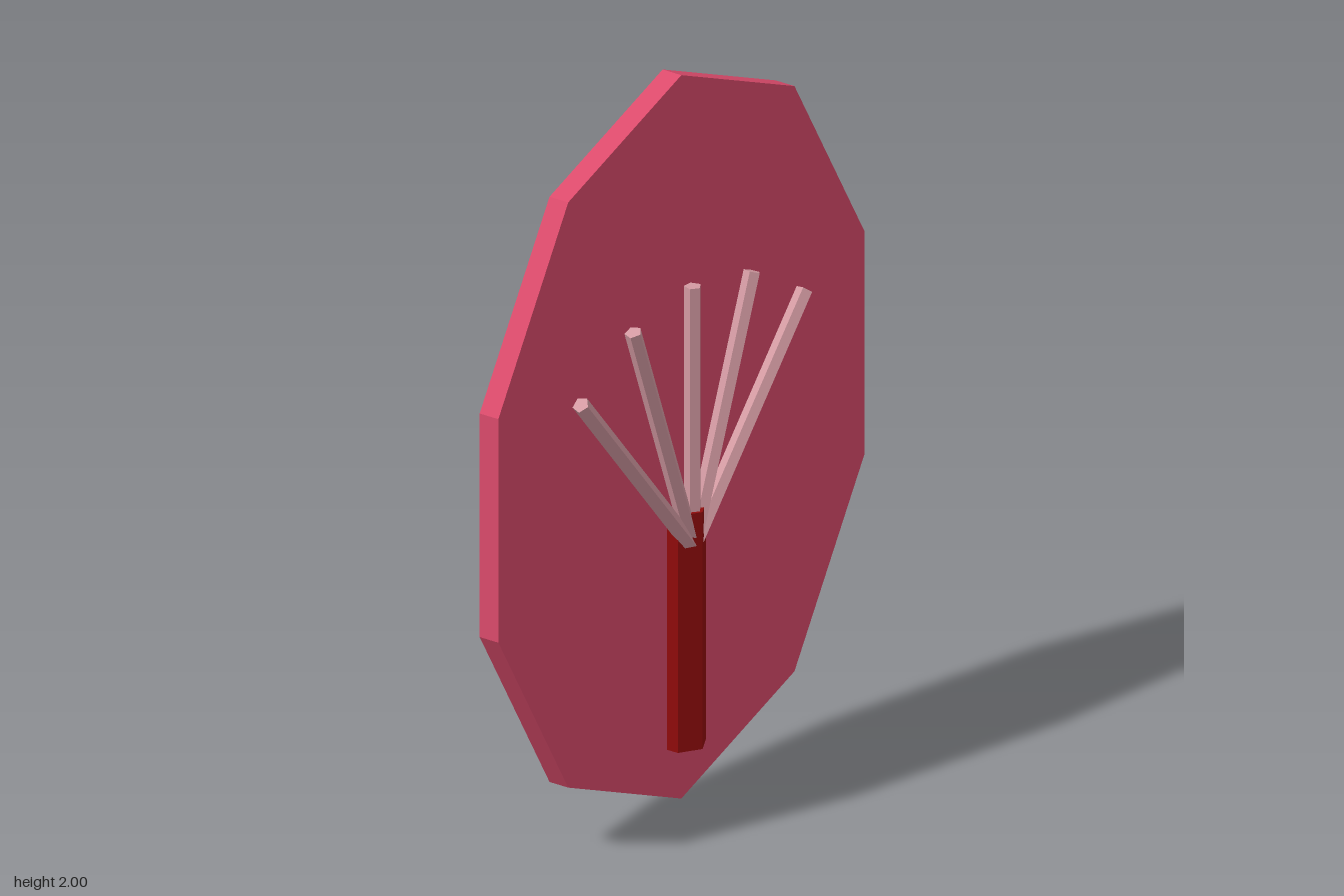
import * as THREE from 'three';

export function createModel() {
  const model = new THREE.Group();
  const crown = new THREE.MeshStandardMaterial({ name: 'rose foliage', color: 0xdc4b6c, flatShading: true });
  const bark = new THREE.MeshStandardMaterial({ name: 'dark red bark', color: 0x900b0b, flatShading: true });
  const twig = new THREE.MeshStandardMaterial({ name: 'dusty pink twig', color: 0xd39aa2, flatShading: true });

  const add = (name, geometry, material, x, y, z) => {
    const mesh = new THREE.Mesh(geometry, material);
    mesh.name = name;
    mesh.position.set(x, y, z);
    model.add(mesh);
    return mesh;
  };

  // Ten-sided foliage slab, stretched taller than wide
  const slab = new THREE.CylinderGeometry(1, 1, 0.06, 10);
  slab.rotateX(Math.PI / 2).scale(0.8, 1, 1);
  add('foliage', slab, crown, 0, 1, -0.03);

  // Six-sided trunk, poking slightly through the back of the slab
  add('trunk', new THREE.CylinderGeometry(0.068, 0.068, 0.655, 6), bark, 0, 0.4825, 0);

  // Five branches fanning out from the top of the trunk
  const length = 0.725;
  const branch = new THREE.CylinderGeometry(0.023, 0.023, length, 5);
  branch.translate(0, length / 2, 0);
  for (let i = -2; i <= 2; i++) {
    const mesh = add('branch' + (i + 3), branch, twig, 0, 0.702, 0.037);
    mesh.rotation.z = THREE.MathUtils.degToRad(-20 * i);
  }

  return model;
}
